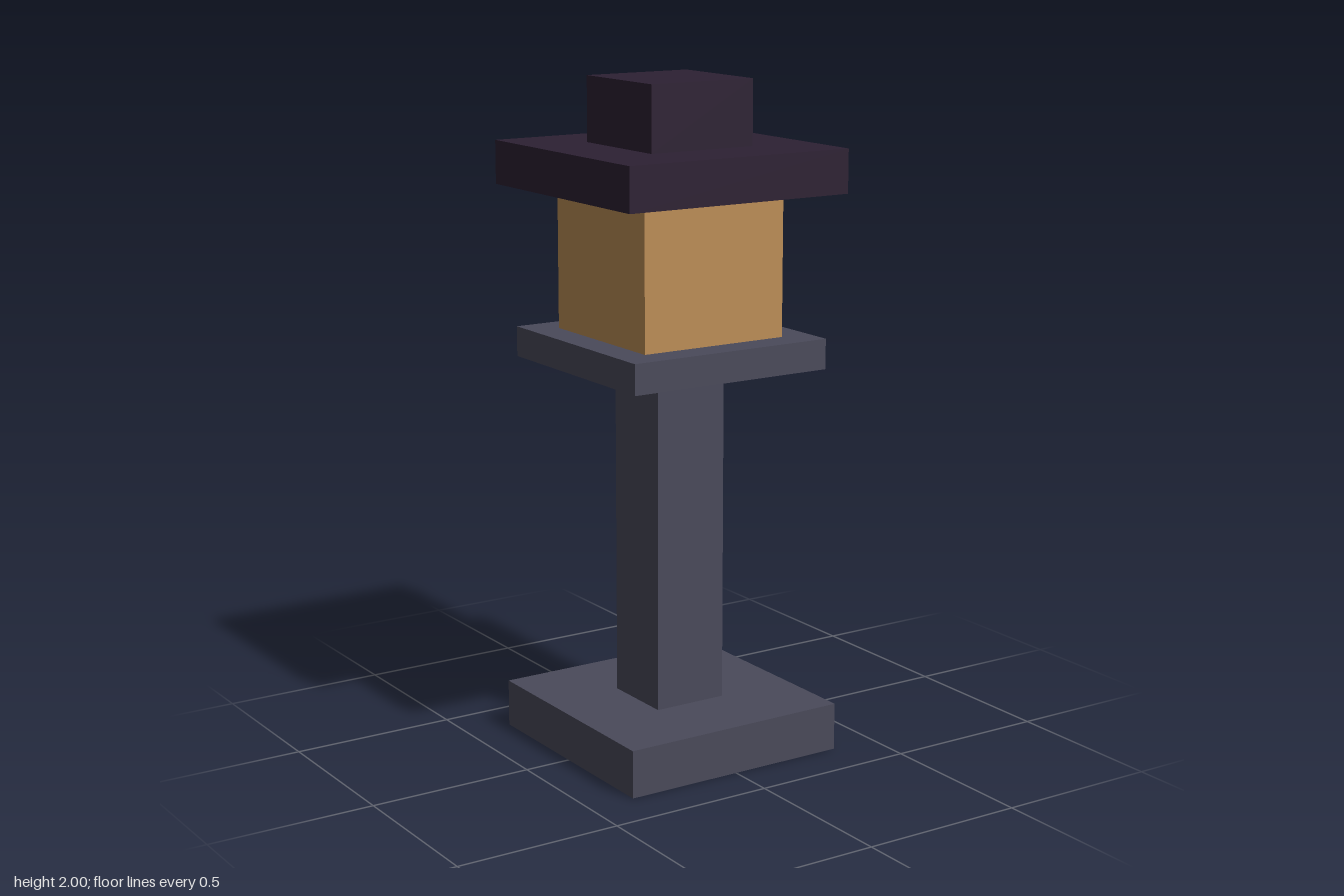
import * as THREE from 'three';

export function createModel() {
  const model = new THREE.Group();
  model.name = 'stoneLantern';

  const material = (name, color) => {
    const m = new THREE.MeshStandardMaterial({ color });
    m.name = name;
    return m;
  };
  const stone = material('slate stone', 0x4a4a5a);
  const glow = material('amber lamp', 0xbd8e56);
  const roof = material('dark roof', 0x2d2033);

  // Square blocks stacked from the ground up: name, width, bottom, top, material
  const blocks = [
    ['base', 0.715, 0, 0.143, stone],
    ['post', 0.23, 0.143, 1.165, stone],
    ['platform', 0.654, 1.165, 1.255, stone],
    ['lampBox', 0.472, 1.255, 1.678, glow],
    ['roofSlab', 0.735, 1.678, 1.807, roof],
    ['roofCap', 0.344, 1.807, 2, roof],
  ];
  for (const [name, width, bottom, top, mat] of blocks) {
    const mesh = new THREE.Mesh(new THREE.BoxGeometry(width, top - bottom, width), mat);
    mesh.name = name;
    mesh.position.y = (bottom + top) / 2;
    model.add(mesh);
  }
  return model;
}
